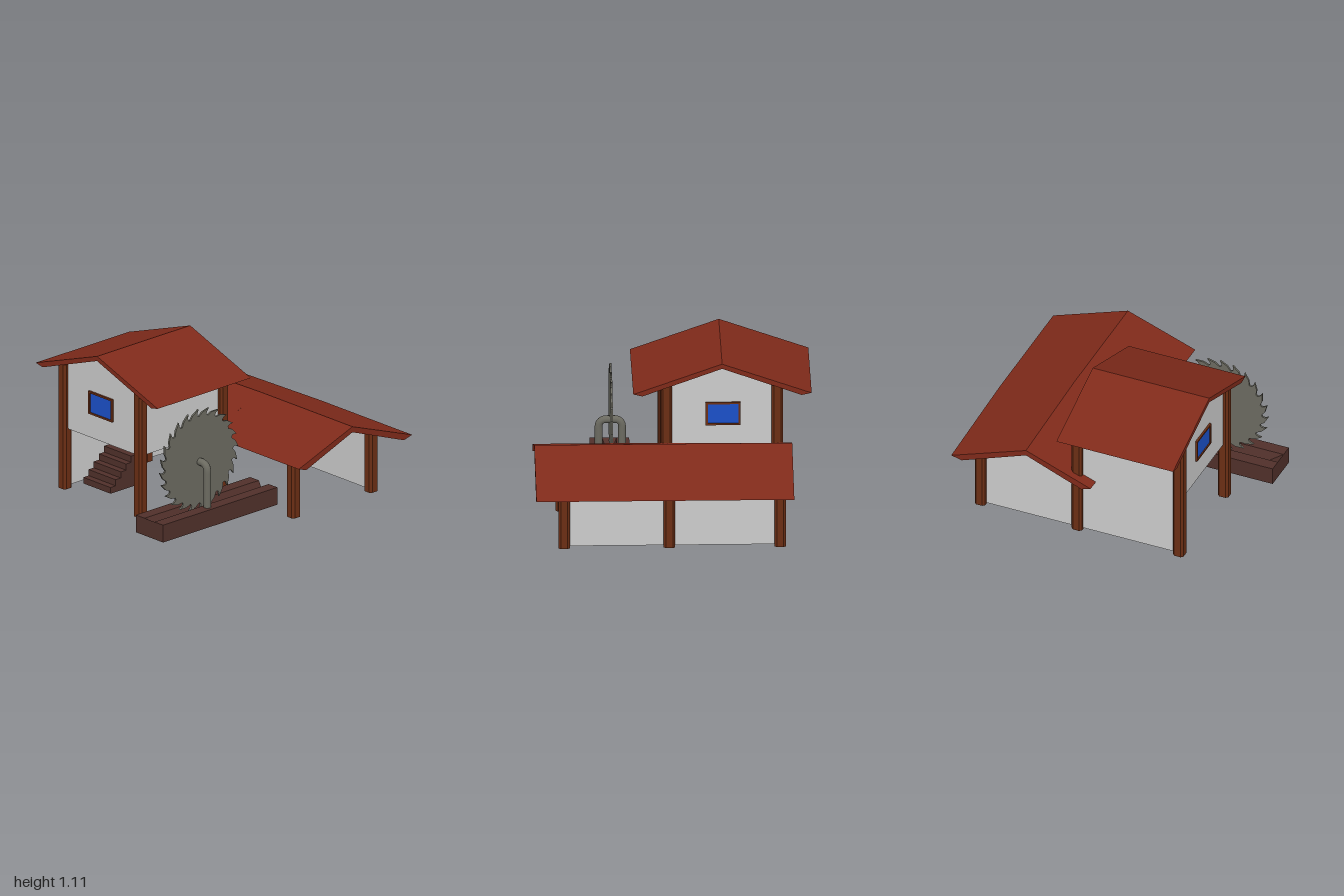
import * as THREE from 'three';

const WALL = 0xcccccc, POST = 0x6b2e14, ROOF = 0x7f2a1a, WOOD = 0x50302a, STEEL = 0x6b6a60, GLASS = 0x1b50c8;
const RIGHT = -0.745, LEFT = 0.035, FRONT = 0.735, BACK = -0.045; // house post lines
const WING_BACK = -0.79, WING_LEFT = 0.775, FLOOR = 0.455;

export function createModel() {
  const model = new THREE.Group();

  function add(name, geometry, color, flat = true) {
    const mesh = new THREE.Mesh(geometry, new THREE.MeshStandardMaterial({ color, flatShading: flat }));
    mesh.name = name;
    model.add(mesh);
    return mesh;
  }
  // box from its minimum and maximum corners
  function box(name, color, [x0, y0, z0], [x1, y1, z1]) {
    const g = new THREE.BoxGeometry(x1 - x0, y1 - y0, z1 - z0);
    g.translate((x0 + x1) / 2, (y0 + y1) / 2, (z0 + z1) / 2);
    return add(name, g, color);
  }
  const shapeOf = pts => new THREE.Shape(pts.map(p => new THREE.Vector2(p[0], p[1])));
  // outline in x,y swept along z
  function sweepZ(pts, z0, z1, steps = 1) {
    const g = new THREE.ExtrudeGeometry(shapeOf(pts), { depth: z1 - z0, bevelEnabled: false, steps });
    return g.translate(0, 0, z0);
  }
  // outline in z,y swept along x
  function sweepX(pts, x0, x1, steps = 1) {
    const g = new THREE.ExtrudeGeometry(shapeOf(pts.map(([z, y]) => [-z, y])), { depth: x1 - x0, bevelEnabled: false, steps });
    return g.rotateY(Math.PI / 2).translate(x0, 0, 0);
  }
  // move each vertex by a rule
  function warp(g, rule) {
    const p = g.attributes.position, v = new THREE.Vector3();
    for (let i = 0; i < p.count; i++) {
      rule(v.fromBufferAttribute(p, i));
      p.setXYZ(i, v.x, v.y, v.z);
    }
    g.computeVertexNormals();
    return g;
  }

  // chamfered posts
  function post(name, x, z, height) {
    const a = 0.04, b = 0.024;
    const g = new THREE.ExtrudeGeometry(
      shapeOf([[a, -b], [a, b], [b, a], [-b, a], [-a, b], [-a, -b], [-b, -a], [b, -a]]),
      { depth: height, bevelEnabled: false });
    g.rotateX(-Math.PI / 2).translate(x, 0, z);
    add(name, g, POST);
  }
  for (const x of [RIGHT, LEFT]) {
    for (const z of [FRONT, BACK]) post('housePost', x, z, 0.935);
    post('wingBackPost', x, WING_BACK, 0.45);
  }
  post('wingBackPost', WING_LEFT, WING_BACK, 0.45);
  post('wingFrontPost', WING_LEFT, BACK, 0.45);

  // house walls: the ground floor is open at the front, back and left
  const gable = [[RIGHT, FLOOR], [LEFT, FLOOR], [LEFT, 0.935], [-0.355, 1.07], [RIGHT, 0.935]];
  for (const [name, z] of [['frontGable', FRONT], ['backGable', BACK]]) {
    add(name, sweepZ(gable, z - 0.005, z + 0.005), WALL);
  }
  box('rightWall', WALL, [RIGHT - 0.005, 0.01, BACK], [RIGHT + 0.005, 0.935, FRONT]);
  box('leftWall', WALL, [LEFT - 0.005, FLOOR, BACK], [LEFT + 0.005, 0.935, FRONT]);
  box('upperFloor', WALL, [RIGHT, FLOOR - 0.008, BACK], [LEFT, FLOOR + 0.004, FRONT]);

  // wing walls: closed at the back and right end only
  box('wingBackWall', WALL, [RIGHT, 0.01, WING_BACK - 0.005], [WING_LEFT, 0.455, WING_BACK + 0.005]);
  add('wingGable', sweepX([[BACK, 0.01], [BACK, 0.45], [-0.42, 0.58], [WING_BACK, 0.45], [WING_BACK, 0.01]],
    RIGHT - 0.005, RIGHT + 0.005), WALL);
  box('wingBeam', STEEL, [LEFT, 0.39, BACK - 0.02], [WING_LEFT, 0.43, BACK + 0.02]);

  // windows in both house gables
  function windowAt(z, out) {
    const shape = shapeOf([[-0.485, 0.63], [-0.24, 0.63], [-0.24, 0.8], [-0.485, 0.8]]);
    shape.holes.push(new THREE.Path([[-0.47, 0.643], [-0.47, 0.787], [-0.255, 0.787], [-0.255, 0.643]]
      .map(p => new THREE.Vector2(...p))));
    const g = new THREE.ExtrudeGeometry(shape, { depth: 0.04, bevelEnabled: false });
    add('windowFrame', g.translate(0, 0, z - 0.02), POST);
    box('windowPane', GLASS, [-0.475, 0.64, z + out * 0.008 - 0.004], [-0.25, 0.79, z + out * 0.008 + 0.004]);
  }
  windowAt(FRONT, 1);
  windowAt(BACK, -1);

  // house roof
  add('houseRoof', sweepZ([[-0.985, 0.883], [-0.915, 0.868], [-0.355, 1.07], [0.205, 0.868], [0.27, 0.883], [-0.355, 1.105]],
    -0.107, 0.79), ROOF);

  // wing roof, stopping at the house wall and sagging a little to the right
  const eave = [[0.092, 0.443], [0.02, 0.418]], cut = [[BACK, 0.493], [BACK, 0.445]];
  for (const [x0, x1, front] of [[-0.84, RIGHT, eave], [RIGHT, LEFT, cut], [LEFT, 0.975, eave]]) {
    const profile = [[-1, 0.42], [-0.425, 0.63], ...front, [-0.425, 0.588], [-0.92, 0.4]];
    add('wingRoof', warp(sweepX(profile, x0, x1), v => {
      const t = Math.max(0, (0.1 - v.x) / 0.94);
      if (v.z < -0.3) v.z += 0.02 * t;
      v.y -= 0.008 * t;
    }), ROOF);
  }

  // stairs up from the front
  const steps = 5, rise = 0.046, run = 0.05, profile = [[0.35, 0.005], [0.6, 0.005]];
  for (let i = 0; i < steps; i++) {
    profile.push([0.6 - i * run, 0.005 + (i + 1) * rise]);
    if (i < steps - 1) profile.push([0.6 - (i + 1) * run, 0.005 + (i + 1) * rise]);
    else profile.push([0.35, 0.005 + steps * rise]);
  }
  add('stairs', sweepX(profile, -0.7, -0.42), WOOD);

  // saw bench with a groove that rises to the surface at its front end
  const bench = [[0.27, 0.01], [0.55, 0.01], [0.55, 0.14], [0.46, 0.14], [0.43, 0.08], [0.39, 0.08], [0.36, 0.14], [0.27, 0.14]];
  add('sawBench', warp(sweepZ(bench, -0.1, 1, 11), v => {
    if (v.z > 0.99 && Math.abs(v.y - 0.08) < 0.01) {
      v.y = 0.14;
      v.x = v.x > 0.41 ? 0.46 : 0.36;
    }
  }), WOOD);

  // saw blade with hooked teeth
  const blade = new THREE.Shape(), teeth = 24, step = Math.PI * 2 / teeth;
  const at = (r, a) => [r * Math.cos(a), r * Math.sin(a)];
  blade.moveTo(...at(0.325, 0));
  for (let i = 0; i < teeth; i++) {
    const a = -i * step;
    blade.lineTo(...at(0.352, a - step * 0.35));
    blade.lineTo(...at(0.378, a - step * 0.95));
    blade.quadraticCurveTo(...at(0.33, a - step * 0.62), ...at(0.325, a - step));
  }
  const bladeGeometry = new THREE.ExtrudeGeometry(blade, { depth: 0.014, bevelEnabled: false, curveSegments: 4 });
  bladeGeometry.rotateY(Math.PI / 2).translate(0.405, 0.475, 0.53);
  add('sawBlade', bladeGeometry, STEEL);

  // bent pipe that carries the blade
  const P = (x, y) => new THREE.Vector3(x, y, 0.525);
  const pipe = new THREE.CurvePath();
  pipe.add(new THREE.LineCurve3(P(0.332, 0.1), P(0.332, 0.4)));
  pipe.add(new THREE.QuadraticBezierCurve3(P(0.332, 0.4), P(0.332, 0.46), P(0.39, 0.46)));
  pipe.add(new THREE.LineCurve3(P(0.39, 0.46), P(0.44, 0.46)));
  pipe.add(new THREE.QuadraticBezierCurve3(P(0.44, 0.46), P(0.498, 0.46), P(0.498, 0.4)));
  pipe.add(new THREE.LineCurve3(P(0.498, 0.4), P(0.498, 0.1)));
  add('bladeBracket', new THREE.TubeGeometry(pipe, 60, 0.027, 12), STEEL, false);

  return model;
}
